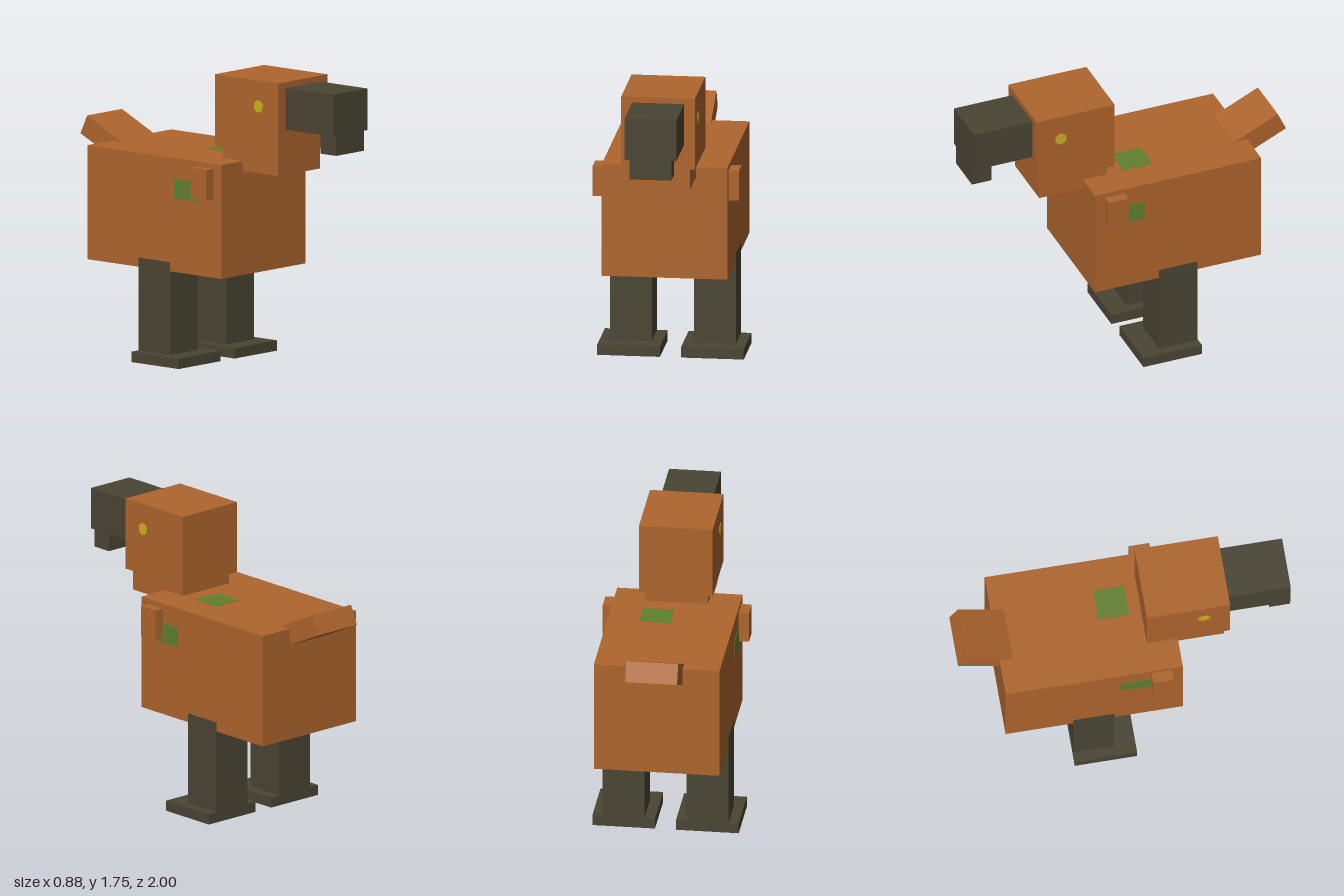
import * as THREE from 'three';

export function createModel() {
  const model = new THREE.Group();
  model.name = 'blockyBird';

  const mat = (name, color) => {
    const m = new THREE.MeshStandardMaterial({ color });
    m.name = name;
    return m;
  };
  const orange = mat('orangeFeathers', 0xae652d);
  const dark = mat('darkHorn', 0x4a4534);
  const green = mat('greenPatch', 0x62802f);
  const yellow = mat('yellowEye', 0xcdb021);

  // Box given by its minimum and maximum corners
  const box = (name, material, min, max) => {
    const size = max.map((v, i) => Math.abs(v - min[i]));
    const mesh = new THREE.Mesh(new THREE.BoxGeometry(...size), material);
    mesh.position.set(...max.map((v, i) => (v + min[i]) / 2));
    mesh.name = name;
    model.add(mesh);
    return mesh;
  };

  // Torso, neck and head
  box('body', orange, [-0.375, 0.565, -0.75], [0.375, 1.25, 0.315]);
  box('neck', orange, [-0.1875, 1.19, 0.16], [0.1875, 1.32, 0.595]);
  box('head', orange, [-0.22, 1.32, 0.125], [0.22, 1.755, 0.625]);

  // Hooked beak
  box('beak', dark, [-0.155, 1.47, 0.625], [0.155, 1.72, 1]);
  box('beakHook', dark, [-0.125, 1.35, 0.875], [0.125, 1.47, 1]);

  // Tail, tilted up and rooted in the body
  const tail = new THREE.Mesh(new THREE.BoxGeometry(0.31, 0.125, 0.375), orange);
  tail.name = 'tail';
  tail.position.set(0, 1.243, -0.803);
  tail.rotation.x = THREE.MathUtils.degToRad(25);
  model.add(tail);

  // Mirrored limbs and eyes
  for (const [side, s] of [['left', 1], ['right', -1]]) {
    box(side + 'Wing', orange, [s * 0.375, 1.035, 0.125], [s * 0.4375, 1.22, 0.25]);
    box(side + 'Leg', dark, [s * 0.126, 0.0625, -0.343], [s * 0.376, 0.62, -0.095]);
    box(side + 'Foot', dark, [s * 0.0625, 0, -0.345], [s * 0.4375, 0.0625, 0.03]);

    const eyeShape = new THREE.CylinderGeometry(0.038, 0.038, 0.006, 8);
    eyeShape.rotateY(Math.PI / 8).rotateZ(Math.PI / 2);
    const eye = new THREE.Mesh(eyeShape, yellow);
    eye.name = side + 'Eye';
    eye.position.set(s * 0.22, 1.6, 0.47);
    model.add(eye);
  }

  // Thin coloured patches on the back and flanks
  box('backPatch', green, [0, 1.247, -0.13], [0.185, 1.253, 0.055]);
  box('leftPatch', green, [0.372, 1.01, 0], [0.378, 1.13, 0.185]);
  box('rightPatch', green, [-0.378, 1.005, -0.06], [-0.372, 1.125, 0.125]);

  return model;
}
